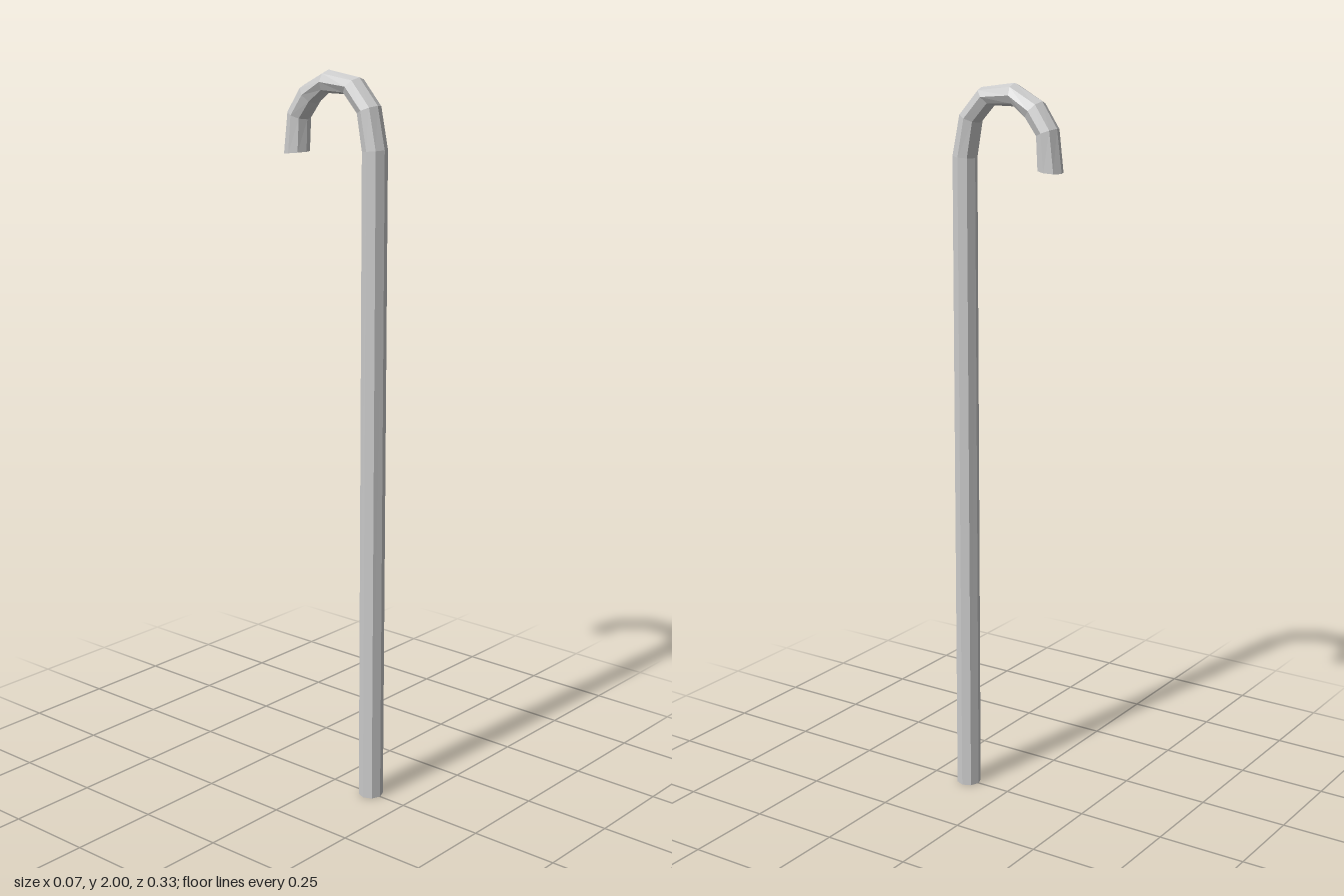
import * as THREE from 'three';

const SIDES = 8;
const HALF_WIDTH = 0.035;

// Each ring: outer edge [z, y] and inner edge [z, y], from the foot to the hook tip
const RINGS = [
  [0.167, 0, 0.1, 0],
  [0.167, 1.806, 0.102, 1.8],
  [0.143, 1.917, 0.086, 1.893],
  [0.082, 1.985, 0.042, 1.94],
  [-0.022, 2.0, -0.028, 1.94],
  [-0.107, 1.957, -0.063, 1.91],
  [-0.152, 1.89, -0.096, 1.868],
  [-0.167, 1.776, -0.099, 1.783],
];

// Eight-sided bar swept through the rings, closed at both ends
function sweptBar(rings) {
  const positions = [];
  const index = [];
  for (const [oz, oy, iz, iy] of rings) {
    for (let j = 0; j < SIDES; j++) {
      const a = (j / SIDES) * Math.PI * 2;
      const t = (1 + Math.cos(a)) / 2;
      positions.push(HALF_WIDTH * Math.sin(a), iy + (oy - iy) * t, iz + (oz - iz) * t);
    }
  }
  const last = (rings.length - 1) * SIDES;
  for (let r = 0; r < last; r += SIDES) {
    for (let j = 0; j < SIDES; j++) {
      const k = (j + 1) % SIDES;
      const a = r + j, b = r + k, c = b + SIDES, d = a + SIDES;
      index.push(a, b, c, a, c, d);
    }
  }
  // End caps
  for (let j = 1; j < SIDES - 1; j++) {
    index.push(0, j + 1, j);
    index.push(last, last + j, last + j + 1);
  }
  const indexed = new THREE.BufferGeometry();
  indexed.setAttribute('position', new THREE.Float32BufferAttribute(positions, 3));
  indexed.setIndex(index);
  const geometry = indexed.toNonIndexed();
  geometry.computeVertexNormals();
  return geometry;
}

export function createModel() {
  const group = new THREE.Group();
  group.name = 'hookedCane';
  const material = new THREE.MeshStandardMaterial({ color: 0xcccccc, flatShading: true });

  // Straight shaft running into the curved handle
  const cane = new THREE.Mesh(sweptBar(RINGS), material);
  cane.name = 'shaftAndHook';
  group.add(cane);
  return group;
}
